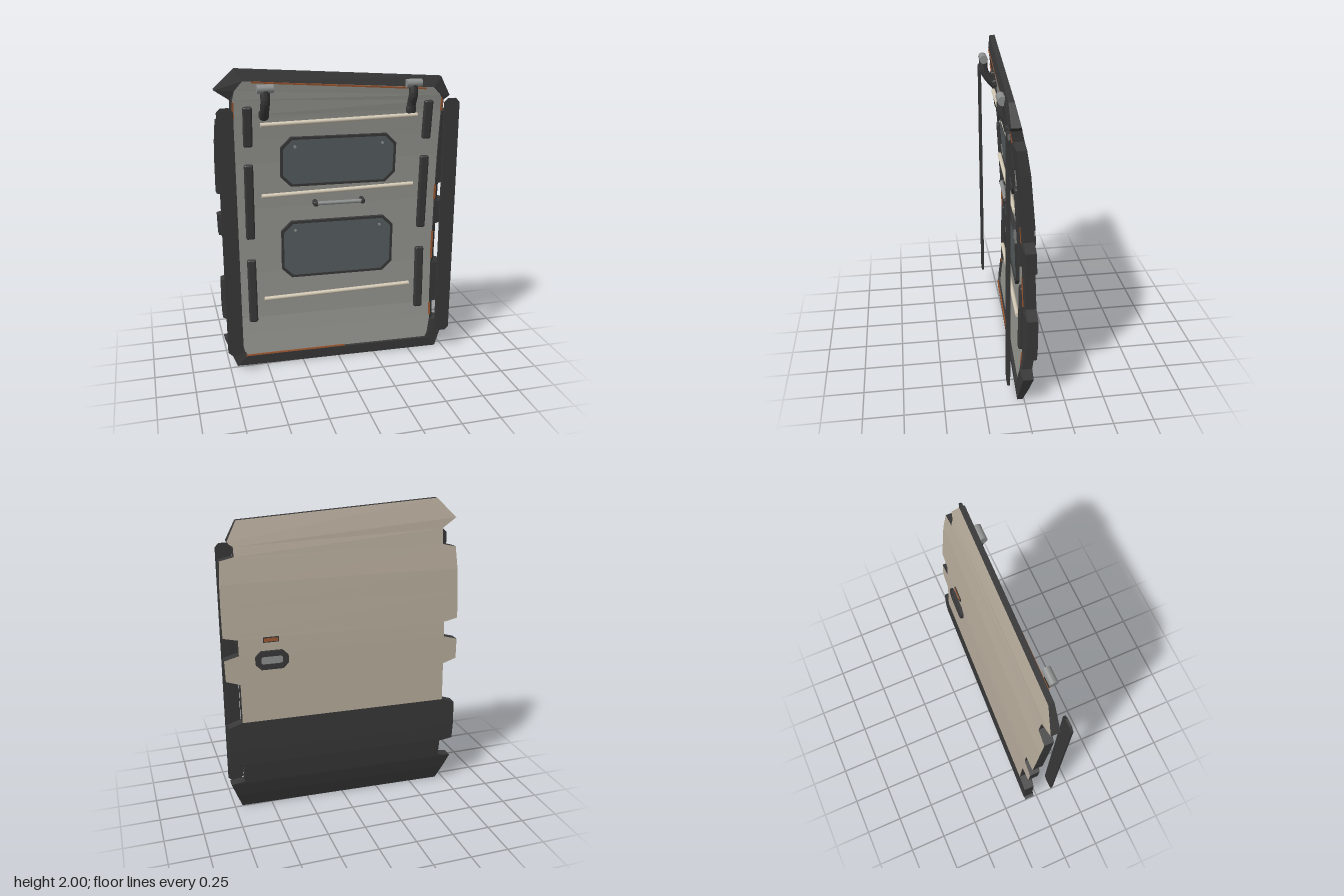
import * as THREE from 'three';
import { RoundedBoxGeometry } from 'three/addons/geometries/RoundedBoxGeometry.js';

const paint = (name, color, flatShading = false) => {
  const m = new THREE.MeshStandardMaterial({ color, side: THREE.DoubleSide, flatShading });
  m.name = name;
  return m;
};

export function createModel() {
  const group = new THREE.Group();
  group.name = 'vehicleDoor';
  const dark = paint('dark frame', 0x383838, true);
  const beige = paint('beige paint', 0xb5aa9a, true);
  const lining = paint('grey lining', 0x93938e, true);
  const glass = paint('tinted glass', 0x565d60);
  const cream = paint('cream rod', 0xd2c8b4);
  const steel = paint('steel', 0x8c8e8e);
  const rust = paint('rust edge', 0x9a5630);

  // Door curvature: z at a height for the back skin, front lip and lining
  const curve = (pts) => (y) => {
    let i = 1;
    while (i < pts.length - 1 && y > pts[i][0]) i++;
    const [a, b] = [pts[i - 1], pts[i]];
    return a[1] + (b[1] - a[1]) * (y - a[0]) / (b[0] - a[0]);
  };
  const back = curve([[0, -0.02], [0.17, -0.075], [0.38, -0.1], [0.65, -0.1], [1.15, -0.08], [1.55, -0.045], [1.84, 0], [1.96, 0.03]]);
  const lip = curve([[0.07, 0.02], [0.3, -0.018], [0.65, -0.022], [1.1, -0.005], [1.4, 0.015], [1.65, 0.04], [1.89, 0.077]]);
  const sheet = curve([[0.07, 0], [0.3, -0.03], [0.65, -0.035], [1.1, -0.02], [1.4, 0], [1.65, 0.025], [1.89, 0.06]]);
  const SKEW = 0.04;
  const point = (x, y, z) => {
    const t = THREE.MathUtils.smoothstep(y, 1.7, 1.88);
    return [x, y - 0.062 * x * t, z + SKEW * x];
  };

  // Outline rows: height, half width, sideways shift
  const rows = [[0, 0.7], [0.1, 0.738], [0.2, 0.775], [0.215, 0.685], [0.33, 0.685], [0.345, 0.775],
    [0.45, 0.778], [0.62, 0.775], [0.65, 0.685], [0.91, 0.685], [0.94, 0.775], [1.075, 0.778],
    [1.1, 0.685], [1.2, 0.685], [1.22, 0.778], [1.4, 0.778], [1.55, 0.775], [1.69, 0.765],
    [1.71, 0.675], [1.79, 0.675], [1.835, 0.74, -0.03], [1.96, 0.645]];
  const sections = rows.map(([y, w, dx = 0]) => {
    const yi = THREE.MathUtils.clamp(y, 0.07, 1.89);
    const wi = Math.min(0.665, y < 0.2 ? 0.63 + y * 0.17 : y > 1.8 ? 0.665 - (y - 1.8) * 0.4 : 0.665);
    const zb = back(y), zm = Math.min(zb + 0.065, Math.max(lip(yi) - 0.012, zb + 0.035));
    const side = (s) => [point(s * wi, yi, sheet(yi)), point(s * wi, yi, lip(yi)),
      point(s * w + dx, y, zm), point(s * w + dx, y, zb)];
    return { y, left: side(-1), right: side(1) };
  });

  const add = (name, geo, mat) => {
    const m = new THREE.Mesh(geo, mat);
    m.name = name;
    group.add(m);
    return m;
  };
  const quads = (name, list, mat) => {
    const pos = [];
    for (const [a, b, c, d] of list) pos.push(...a, ...b, ...c, ...a, ...c, ...d);
    const g = new THREE.BufferGeometry();
    g.setAttribute('position', new THREE.Float32BufferAttribute(pos, 3));
    g.computeVertexNormals();
    return add(name, g, mat);
  };

  // Frame rim: side walls and bevelled lips, closed across top and bottom
  const rim = [], skinLow = [], skinHigh = [], inner = [];
  for (let i = 0; i + 1 < sections.length; i++) {
    const a = sections[i], b = sections[i + 1];
    for (let k = 0; k < 3; k++) {
      rim.push([a.right[k], a.right[k + 1], b.right[k + 1], b.right[k]]);
      rim.push([a.left[k + 1], a.left[k], b.left[k], b.left[k + 1]]);
    }
    (a.y < 0.65 ? skinLow : skinHigh).push([a.right[3], a.left[3], b.left[3], b.right[3]]);
    inner.push([a.left[0], a.right[0], b.right[0], b.left[0]]);
  }
  const first = sections[0], last = sections[sections.length - 1];
  for (let k = 0; k < 3; k++) {
    rim.push([first.left[k + 1], first.right[k + 1], first.right[k], first.left[k]]);
    rim.push([last.left[k], last.right[k], last.right[k + 1], last.left[k + 1]]);
  }
  quads('frame', rim, dark);
  quads('lowerSkin', skinLow, dark);
  quads('upperSkin', skinHigh, beige);
  quads('innerLining', inner, lining);

  // Lay a part on a curved face
  const place = (mesh, x, y, off, face = sheet) => {
    mesh.position.set(x, y, face(y) + SKEW * x + off);
    mesh.rotation.set(Math.atan((face(y + 0.08) - face(y - 0.08)) / 0.16), -SKEW, 0);
    return mesh;
  };
  const octagon = (w, h, c, T = THREE.Shape) => {
    const x = w / 2, y = h / 2;
    return new T([[-x + c, -y], [x - c, -y], [x, -y + c], [x, y - c], [x - c, y], [-x + c, y], [-x, y - c], [-x, -y + c]]
      .map((p) => new THREE.Vector2(...p)));
  };
  const plate = (shape, depth) => new THREE.ExtrudeGeometry(shape, { depth, bevelEnabled: false })
    .translate(0, 0, -depth / 2);

  // Windows with rims and bolts
  for (const [y, h] of [[1.403, 0.325], [0.803, 0.395]]) {
    const ring = octagon(0.75, h, 0.065);
    ring.holes.push(octagon(0.72, h - 0.03, 0.06, THREE.Path));
    place(add('windowRim', plate(ring, 0.024), dark), 0, y, 0.012);
    place(add('windowGlass', plate(octagon(0.73, h - 0.02, 0.06), 0.008), glass), 0, y, 0.013);
    for (const s of [-1, 1]) {
      const bolt = new THREE.CylinderGeometry(0.009, 0.009, 0.014, 10).rotateX(Math.PI / 2);
      place(add('windowBolt', bolt, steel), s * 0.283, y + h / 2 - 0.062, 0.017);
    }
  }

  // Side pads and loose vertical guard strips
  for (const s of [-1, 1]) {
    for (const [y0, y1] of [[0.305, 0.75], [0.895, 1.4], [1.515, 1.77]]) {
      const pad = new RoundedBoxGeometry(0.058, y1 - y0, 0.034, 2, 0.012);
      place(add('sidePad', pad, dark), s * 0.575, (y0 + y1) / 2, 0.012);
    }
    const strip = add('guardStrip', plate(octagon(0.1, 1.63, 0.025), 0.014), dark);
    strip.position.set(s * 0.72, 0.965, 0.104);
    // Worn edges beside the notches
    for (const [y, h] of [[0.28, 0.09], [0.76, 0.2], [1.14, 0.1], [1.75, 0.1]]) {
      place(add('wornEdge', new THREE.BoxGeometry(0.012, h, 0.008), rust), s * 0.662, y, 0.014);
    }
  }
  place(add('bottomWornEdge', new THREE.BoxGeometry(0.68, 0.01, 0.008), rust), -0.3, 0.077, 0.02);
  const topEdge = place(add('topWornEdge', new THREE.BoxGeometry(1.1, 0.01, 0.008), rust), 0, 1.883, 0.014);
  topEdge.rotation.z = -0.062;

  // Cross rods
  for (const y of [0.482, 1.202, 1.667]) {
    const rod = add('crossRod', new THREE.CylinderGeometry(0.014, 0.014, 1, 12).rotateZ(Math.PI / 2), cream);
    place(rod, 0, y, 0.026);
    rod.rotation.set(0, -SKEW, 0.025);
  }

  // Inner grab handle
  const grip = new THREE.CylinderGeometry(0.013, 0.013, 0.3, 12).rotateZ(Math.PI / 2);
  place(add('grabHandle', grip, steel), 0, 1.125, 0.05);
  for (const s of [-1, 1]) {
    place(add('grabHandleEnd', new RoundedBoxGeometry(0.03, 0.034, 0.06, 2, 0.01), dark), s * 0.155, 1.125, 0.034);
  }

  // Top hinges: steel barrel with a dark arm
  for (const x of [-0.475, 0.46]) {
    const barrel = add('hingeBarrel', new THREE.CylinderGeometry(0.027, 0.027, 0.1, 16).rotateZ(Math.PI / 2), steel);
    barrel.position.set(x, 1.885, 0.103);
    const path = new THREE.CatmullRomCurve3([[1.885, 0.1], [1.81, 0.1], [1.76, 0.075], [1.7, sheet(1.7) + SKEW * x + 0.01]]
      .map(([y, z]) => new THREE.Vector3(x, y, z)));
    add('hingeArm', new THREE.TubeGeometry(path, 10, 0.029, 10), dark);
    place(add('hingeFoot', new RoundedBoxGeometry(0.06, 0.05, 0.04, 2, 0.012), dark), x, 1.715, 0.012);
  }

  // Outer latch and slot
  const surround = octagon(0.21, 0.12, 0.035);
  surround.holes.push(octagon(0.14, 0.05, 0.01, THREE.Path));
  place(add('latchSurround', plate(surround, 0.024), dark), 0.48, 1.06, -0.008, back);
  place(add('latchHandle', new THREE.BoxGeometry(0.14, 0.05, 0.008), steel), 0.48, 1.06, -0.008, back);
  place(add('slotFrame', new THREE.BoxGeometry(0.1, 0.034, 0.006), dark), 0.48, 1.19, -0.003, back);
  place(add('slot', new THREE.BoxGeometry(0.088, 0.022, 0.008), rust), 0.48, 1.19, -0.005, back);

  return group;
}
